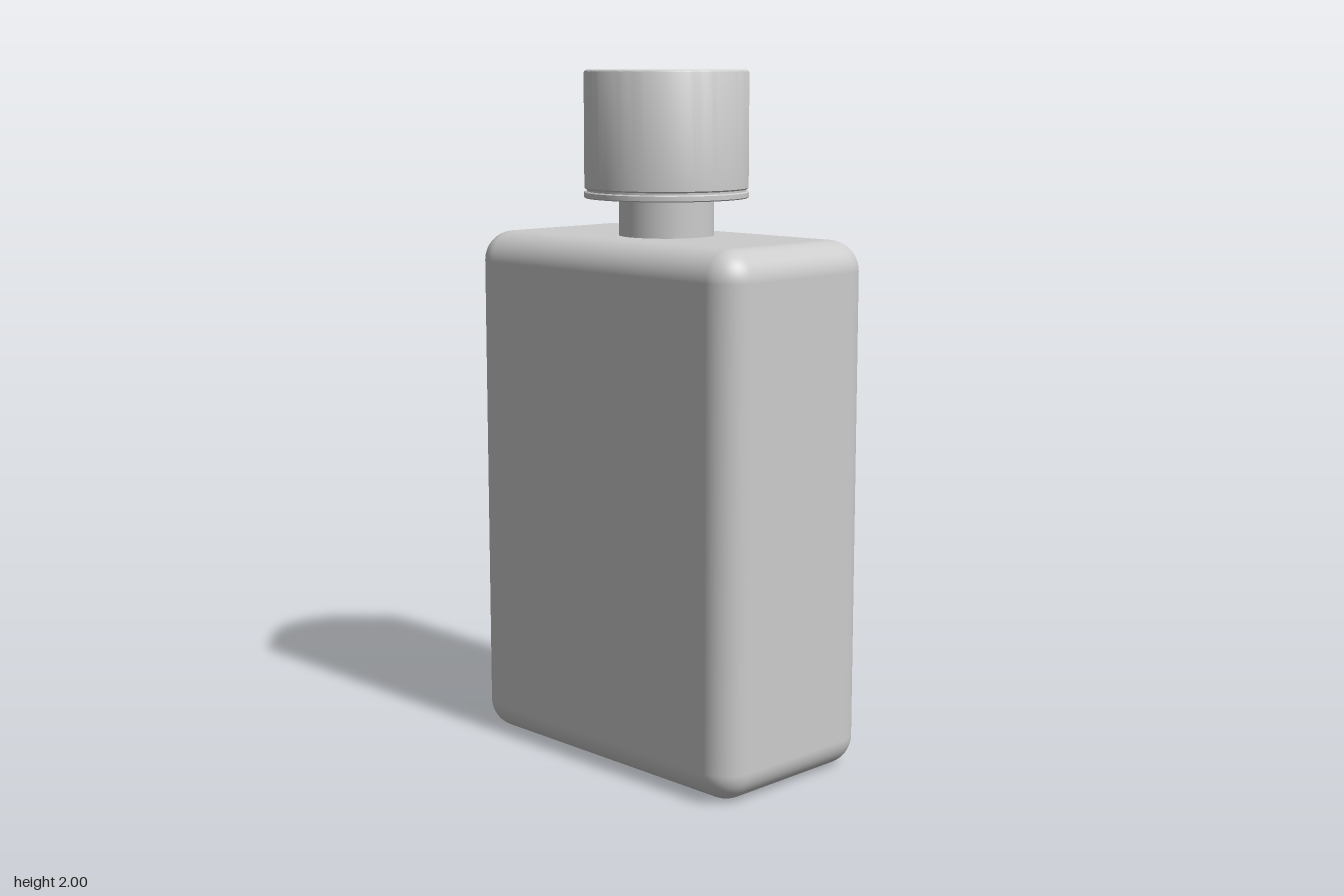
import * as THREE from 'three';
import { RoundedBoxGeometry } from 'three/addons/geometries/RoundedBoxGeometry.js';
import { toCreasedNormals } from 'three/addons/utils/BufferGeometryUtils.js';

const material = new THREE.MeshStandardMaterial({ color: 0xcccccc });

function part(name, geometry, y = 0) {
  const mesh = new THREE.Mesh(geometry, material);
  mesh.name = name;
  mesh.position.y = y;
  return mesh;
}

// Turned part from [radius, height] pairs, listed bottom to top
function turned(name, profile) {
  const points = profile.map(([r, y]) => new THREE.Vector2(r, y));
  return part(name, toCreasedNormals(new THREE.LatheGeometry(points, 96), 0.6));
}

export function createModel() {
  const group = new THREE.Group();
  group.name = 'bottle';

  // Rectangular body with rounded edges
  group.add(part('body', new RoundedBoxGeometry(1.054, 1.53, 0.578, 8, 0.088), 0.765));

  // Neck, sunk slightly into the body and the cap
  group.add(part('neck', new THREE.CylinderGeometry(0.137, 0.137, 0.17, 64), 1.585));

  // Thin ring under the cap
  group.add(turned('capRing', [
    [0, 1.638], [0.234, 1.638], [0.237, 1.641], [0.237, 1.654], [0.234, 1.657], [0, 1.657],
  ]));

  // Recessed seam between ring and cap
  group.add(part('capSeam', new THREE.CylinderGeometry(0.229, 0.229, 0.016, 96, 1, true), 1.66));

  // Cap with a small rounded rim at top and bottom
  const rim = 0.01, radius = 0.236;
  const profile = [[0, 1.663], [radius - 0.004, 1.663], [radius, 1.667]];
  for (let i = 0; i <= 5; i++) {
    const a = (i / 5) * Math.PI / 2;
    profile.push([radius - rim + rim * Math.cos(a), 2 - rim + rim * Math.sin(a)]);
  }
  profile.push([0, 2]);
  group.add(turned('cap', profile));

  return group;
}
